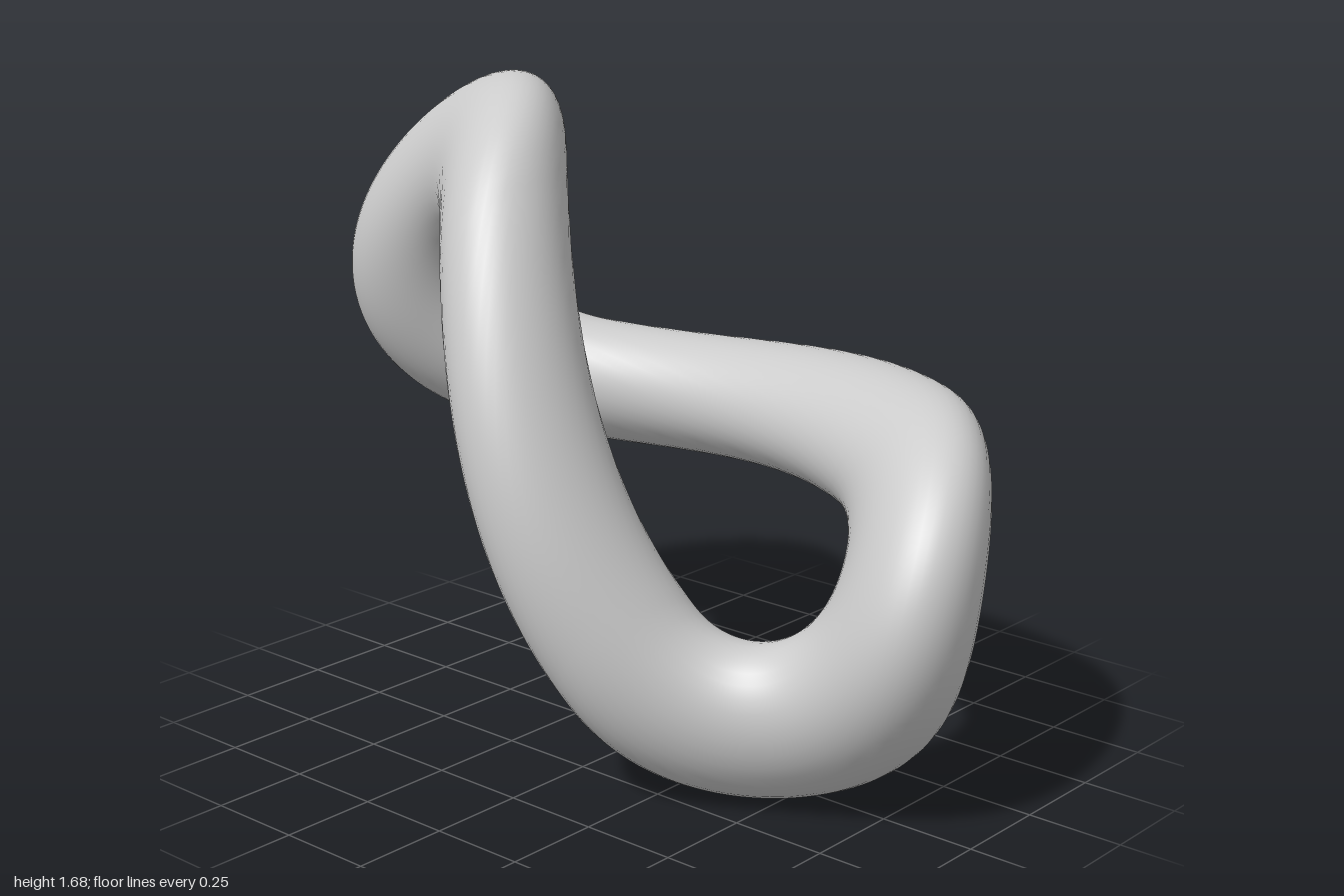
import * as THREE from 'three';
import { mergeVertices } from 'three/addons/utils/BufferGeometryUtils.js';

const RADIUS = 0.408;   // radius of the ring's round ends
const STRAIGHT = 0.463; // half-length of its straight sides
const TUBE = 0.193;     // tube radius
const TWIST = 1.75;     // radians per unit along the ring's length
const PHASE = -0.03;    // twist at the middle

// Long ring with round ends, lying in the xy plane
function ringGeometry() {
  const outline = new THREE.Shape();
  outline.absarc(STRAIGHT, 0, RADIUS, -Math.PI / 2, Math.PI / 2);
  outline.absarc(-STRAIGHT, 0, RADIUS, Math.PI / 2, Math.PI * 1.5);
  outline.closePath();
  const points = outline.getSpacedPoints(80).slice(0, -1)
    .map((p) => new THREE.Vector3(p.x, p.y, 0));
  const path = new THREE.CatmullRomCurve3(points, true);
  const tube = new THREE.TubeGeometry(path, 260, TUBE, 40, true);
  // Weld the seams so the shading stays smooth
  tube.deleteAttribute('normal');
  tube.deleteAttribute('uv');
  return mergeVertices(tube, 1e-5);
}

// Twist about the long axis, which turns the ring into a figure eight
function twist(geometry) {
  const position = geometry.attributes.position;
  const axis = new THREE.Vector3(1, 0, 0);
  const v = new THREE.Vector3();
  for (let i = 0; i < position.count; i++) {
    v.fromBufferAttribute(position, i);
    v.applyAxisAngle(axis, Math.PI / 2 + PHASE + TWIST * v.x);
    position.setXYZ(i, v.x, v.y, v.z);
  }
}

export function createModel() {
  const geometry = ringGeometry();
  twist(geometry);

  // Lean the long axis, then rest the loop on the ground
  geometry.rotateY(-0.03);
  geometry.rotateZ(-0.56);
  geometry.computeBoundingBox();
  geometry.translate(0, -geometry.boundingBox.min.y, 0);
  geometry.computeVertexNormals();

  const loop = new THREE.Mesh(
    geometry,
    new THREE.MeshStandardMaterial({ color: 0xcccccc })
  );
  loop.name = 'loopTube';
  const group = new THREE.Group();
  group.name = 'twistedLoop';
  group.add(loop);
  return group;
}
